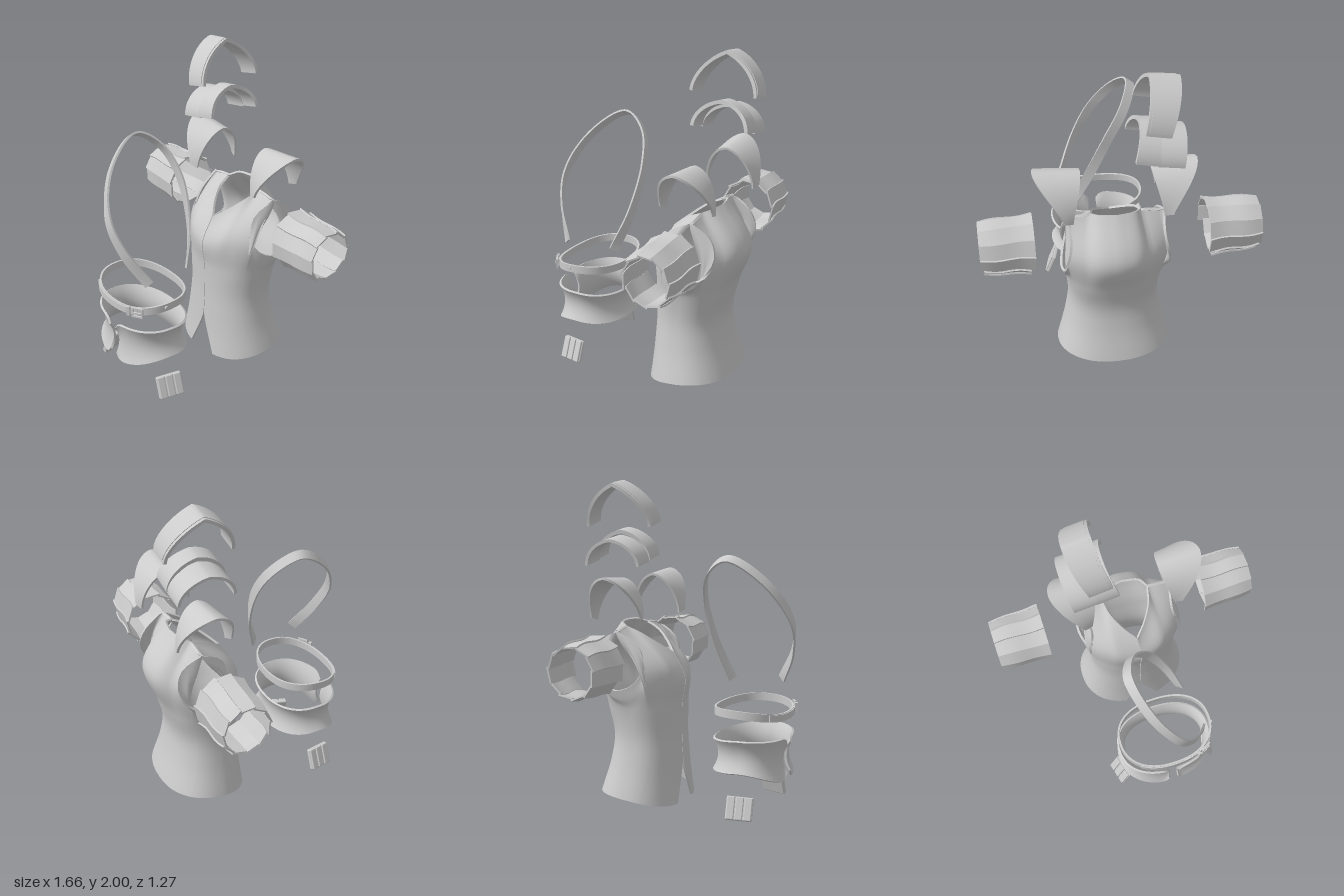
import * as THREE from 'three';
import { mergeGeometries } from 'three/addons/utils/BufferGeometryUtils.js';
import { RoundedBoxGeometry } from 'three/addons/geometries/RoundedBoxGeometry.js';

const CX = 0.03; // middle of the body parts
const V = (x, y, z) => new THREE.Vector3(x, y, z);
const lerp = THREE.MathUtils.lerp;
const mat = new THREE.MeshStandardMaterial({ color: 0xcccccc, side: THREE.DoubleSide });

function mesh(name, geo, parent) {
  const m = new THREE.Mesh(geo, mat);
  m.name = name;
  parent.add(m);
  return m;
}

function toGeometry(points, index) {
  const g = new THREE.BufferGeometry().setFromPoints(points);
  g.setIndex(index);
  g.computeVertexNormals();
  return g;
}

// Thick sheet from f(u, v): outer skin, inner skin and a crisp rim
function shell(f, nu, nv, t, closed = false) {
  const cols = closed ? nu : nu + 1, pts = [], idx = [], back = [];
  const id = (i, j) => j * cols + (i % cols);
  for (let j = 0; j <= nv; j++) for (let i = 0; i < cols; i++) pts.push(f(i / nu, j / nv));
  for (let j = 0; j < nv; j++) for (let i = 0; i < nu; i++) {
    const a = id(i, j), b = id(i + 1, j), c = id(i + 1, j + 1), d = id(i, j + 1);
    idx.push(a, b, c, a, c, d);
    back.push(a, c, b, a, d, c);
  }
  const outer = toGeometry(pts, idx), n = outer.attributes.normal;
  const inPts = pts.map((p, k) => p.clone().addScaledVector(V(n.getX(k), n.getY(k), n.getZ(k)), -t));
  const low = [], high = [], loops = [];
  for (let i = 0; i <= nu; i++) { low.push(id(i, 0)); high.push(id(nu - i, nv)); }
  if (closed) loops.push(low, high);
  else {
    const right = [], left = [];
    for (let j = 0; j <= nv; j++) { right.push(id(nu, j)); left.push(id(0, nv - j)); }
    loops.push(low, right, high, left);
  }
  const rim = loops.map((l) => {
    const rp = l.flatMap((k) => [pts[k], inPts[k]]), ri = [];
    for (let k = 0; k < l.length - 1; k++) {
      const a = 2 * k;
      ri.push(a, a + 1, a + 3, a, a + 3, a + 2);
    }
    return toGeometry(rp, ri);
  });
  return mergeGeometries([outer, toGeometry(inPts, back), ...rim]);
}

// Slightly squared oval, angle 0 at the front
function oval(a, rx, rz, y, cz, p = 0.88) {
  const s = Math.sin(a), c = Math.cos(a);
  return V(CX + rx * Math.sign(s) * Math.abs(s) ** p, y, cz + rz * Math.sign(c) * Math.abs(c) ** p);
}

function makeVest(parent) {
  // upper edge of one half: neckline, shoulder, armhole, shoulder, back neck
  const edges = [
    [8, 0, 0.6, [[0, 0.94, -0.155], [0.07, 1.0, -0.225], [0.13, 1.07, -0.32], [0.15, 1.11, -0.41]]],
    [5, 0.6, 1.05, [[0.15, 1.11, -0.41], [0.21, 1.105, -0.41], [0.28, 1.09, -0.41]]],
    [24, 1.05, 2.15, [[0.28, 1.09, -0.41], [0.255, 1.0, -0.27], [0.275, 0.87, -0.235], [0.31, 0.77, -0.29],
      [0.33, 0.73, -0.4], [0.315, 0.78, -0.52], [0.285, 0.9, -0.57], [0.265, 1.01, -0.53], [0.28, 1.09, -0.41]]],
    [5, 2.15, 2.55, [[0.28, 1.09, -0.41], [0.21, 1.105, -0.41], [0.15, 1.11, -0.41]]],
    [8, 2.55, Math.PI, [[0.15, 1.11, -0.41], [0.11, 1.13, -0.46], [0, 1.135, -0.485]]],
  ];
  const columns = [];
  edges.forEach(([n, a0, a1, list], e) => {
    const curve = new THREE.CatmullRomCurve3(list.map((p) => V(...p)));
    for (let k = e ? 1 : 0; k <= n; k++) {
      const a = lerp(a0, a1, k / n), top = curve.getPoint(k / n);
      const f = (1 + Math.cos(a)) / 2, side = Math.sin(a) ** 2;
      const at = (rx, zf, zb, y, ang = a) => oval(ang, rx, (zf - zb) / 2, y, (zf + zb) / 2).sub(V(CX, 0, 0));
      const hemY = lerp(0.06, 0.0, f) + 0.035 * side;
      const chest = at(0.295, -0.098, -0.56, 0.62);
      const len = chest.distanceTo(top);
      const mid = chest.clone().lerp(top, 0.5)
        .add(V(Math.sin(a) * 0.4, 0, Math.cos(a)).multiplyScalar(0.45 * len * len));
      columns.push(new THREE.CatmullRomCurve3([
        at(0.355, -0.07, -0.6, hemY, lerp(0.27, Math.PI, a / Math.PI)), // skirt is split at the front
        at(0.3, -0.093, -0.54, 0.27), at(0.278, -0.1, -0.52, 0.43), chest, mid, top,
      ]));
    }
  });
  const half = columns.length - 1;
  mesh('vest', shell((u, v) => {
    const i = Math.round(u * 2 * half), p = columns[i <= half ? i : 2 * half - i].getPoint(v);
    const x = i % (2 * half) === 0 || i !== half ? Math.max(p.x, 0.002) : 0;
    return V(CX + (i <= half ? x : -x), p.y, p.z);
  }, 2 * half, 40, 0.014), parent);
}

// Arched plate; each edge = [apex x, apex y, foot x, foot y, half depth]
function arch(e0, e1, peak, t, cz = -0.395, lift = 0, inset = 0) {
  const [a, b] = e0[0] > e1[0] ? [e0, e1] : [e1, e0];
  return shell((u, v) => {
    const th = Math.PI * lerp(inset, 1 - inset, u), s = Math.sin(th), c = Math.cos(th);
    const w = lerp(inset * 3, 1 - inset * 3, v);
    const [ax, ay, fx, fy, d] = a.map((q, k) => lerp(q, b[k], w));
    const rise = lerp(s, 1 - Math.abs(c), peak);
    return V(lerp(fx, ax, s ** 1.3), fy + (ay - fy) * rise + lift * s, cz + (d + lift) * c);
  }, 36, 8, t, false);
}

function makeShoulders(parent) {
  for (const s of [1, -1]) {
    const e = ([ax, ay, fx, fy, d]) => [CX + s * ax, ay, CX + s * fx, fy, d];
    mesh(s > 0 ? 'leftShoulderPad' : 'rightShoulderPad',
      arch(e([0.2, 1.41, 0.26, 1.155, 0.16]), e([0.47, 1.43, 0.31, 1.17, 0.177]), 0.08, 0.014), parent);
  }
  // stacked plates over the right shoulder
  const inner = [[-0.1, 1.715, -0.055, 1.55, 0.185], [-0.21, 1.7, -0.19, 1.52, 0.185]];
  const outer = [[-0.2, 1.67, -0.18, 1.515, 0.18], [-0.36, 1.65, -0.33, 1.49, 0.18]];
  const upper = [[-0.15, 1.996, -0.1, 1.75, 0.215], [-0.32, 1.976, -0.24, 1.72, 0.215]];
  mesh('middlePlateInner', arch(...inner, 0.12, 0.022), parent);
  mesh('middlePlateOuter', arch(...outer, 0.12, 0.018), parent);
  mesh('upperPlate', arch(...upper, 0.3, 0.02), parent);
  mesh('upperPlatePanel', arch(...upper, 0.3, 0.008, -0.395, 0.004, 0.035), parent);
}

function makeStrap(parent) {
  const path = new THREE.CatmullRomCurve3([
    [0.255, 0.78, 0.485], [0.15, 0.97, 0.59], [0.04, 1.16, 0.62], [-0.1, 1.4, 0.5], [-0.17, 1.545, 0.28],
    [-0.11, 1.45, 0.13], [0, 1.27, 0.07], [0.12, 1.0, 0.09], [0.205, 0.765, 0.17]].map((p) => V(...p)));
  mesh('shoulderStrap', shell((u, v) => {
    const p = path.getPointAt(u), t = path.getTangentAt(u);
    const out = p.clone().sub(V(CX, Math.min(p.y, 1.25), 0.34));
    return p.addScaledVector(out.cross(t).normalize(), (v - 0.5) * 0.06);
  }, 80, 2, 0.012), parent);
}

function makeBelt(parent) {
  const g = new THREE.Group();
  g.name = 'belt';
  parent.add(g);
  const level = (a) => 0.64 - 0.0125 * Math.cos(a) - 0.0225 * Math.cos(a) ** 2;
  const at = (a, grow = 0) => oval(a, 0.3 + grow, 0.222 + grow, level(a), 0.384);
  mesh('beltBand', shell((u, v) => {
    const p = at(u * Math.PI * 2);
    p.y += (v - 0.5) * 0.048;
    return p;
  }, 72, 2, 0.012, true), g);
  // overlapping belt end
  mesh('beltTongue', shell((u, v) => {
    const p = at(lerp(-0.75, 0.7, u), 0.007);
    p.y += (v - 0.5) * 0.04;
    return p;
  }, 24, 1, 0.008), g);
  const buckle = new THREE.Group();
  buckle.name = 'buckle';
  buckle.position.copy(at(0.72, 0.008));
  buckle.rotation.y = 0.55;
  g.add(buckle);
  const frame = new THREE.Shape([[-0.035, -0.032], [0.035, -0.032], [0.035, 0.032], [-0.035, 0.032]]
    .map((p) => new THREE.Vector2(...p)));
  frame.holes.push(new THREE.Path([[-0.024, -0.021], [-0.024, 0.021], [0.024, 0.021], [0.024, -0.021]]
    .map((p) => new THREE.Vector2(...p))));
  mesh('buckleFrame', new THREE.ExtrudeGeometry(frame, { depth: 0.012, bevelEnabled: false }), buckle);
  mesh('bucklePin', new THREE.BoxGeometry(0.055, 0.008, 0.01), buckle).position.z = 0.012;
  mesh('beltKeeper', new THREE.BoxGeometry(0.02, 0.058, 0.02), buckle).position.set(-0.06, 0, 0);
  const stud = mesh('beltStud', new THREE.CylinderGeometry(0.011, 0.011, 0.012, 12), g);
  stud.position.copy(at(1.45, 0.003));
  stud.rotation.z = Math.PI / 2;
}

function makeHipGuard(parent) {
  mesh('hipGuard', shell((u, v) => {
    const a = lerp(0.08, Math.PI * 2 - 0.08, u), c = Math.cos(a), front = Math.max(0, c) ** 2;
    const k = Math.min(1, Math.min(u, 1 - u) / 0.035); // rounded front corners
    const round = 0.045 * (1 - Math.sqrt(1 - (1 - k) ** 2));
    const y0 = 0.29 - 0.08 * front - 0.02 * Math.max(0, -c) + round;
    const y1 = 0.48 - 0.008 * front - 0.02 * Math.max(0, -c) - round;
    const flare = 0.035 * (2 * v - 1) ** 2;
    return oval(a, 0.272 + flare, 0.2 + flare * 0.8, lerp(y0, y1, v), 0.382);
  }, 120, 14, 0.013), parent);
}

function makePouches(parent) {
  for (const s of [1, -1]) {
    const g = new THREE.Group();
    g.name = s > 0 ? 'leftHipPlate' : 'rightHipPlate';
    g.position.set(CX + s * 0.305, 0.083, 0.405);
    g.rotation.set(0.06, -s * 0.25, s * 0.37);
    parent.add(g);
    mesh('backing', new RoundedBoxGeometry(0.024, 0.14, 0.16, 2, 0.008), g);
    for (const z of [-0.052, 0, 0.052])
      mesh('slat', new RoundedBoxGeometry(0.02, 0.136, 0.046, 2, 0.006), g).position.set(s * 0.014, 0, z);
  }
}

function makeBracers(parent) {
  const count = 11;
  for (const s of [1, -1]) {
    const g = new THREE.Group();
    g.name = s > 0 ? 'leftBracer' : 'rightBracer';
    parent.add(g);
    for (let i = 0; i < count; i++) {
      const mid = (i / count) * Math.PI * 2, under = Math.cos(mid) < -0.5 ? 1 : 0;
      const half = (Math.PI / count) * 1.08;
      mesh('slat', shell((u, v) => {
        const k = s > 0 ? v : 1 - v; // 0 at the upper arm, 1 at the wrist
        const x = lerp(0.51 + 0.03 * under, 0.828 - 0.015 * under, k);
        const r = lerp(0.176, 0.15, k) - 0.006 * Math.sin(k * Math.PI * 2);
        const corner = (sg) => {
          const a = mid + sg * half + 0.025 * Math.sin(k * Math.PI * 2), rr = r + sg * 0.005;
          return V(s * x, 0.922 + rr * 1.04 * Math.cos(a), -0.4 + rr * Math.sin(a));
        };
        return corner(-1).lerp(corner(1), u);
      }, 2, 10, 0.01), g);
    }
  }
}

export function createModel() {
  const model = new THREE.Group();
  model.name = 'armourSet';
  [makeVest, makeShoulders, makeStrap, makeBelt, makeHipGuard, makePouches, makeBracers].forEach((f) => f(model));
  return model;
}
